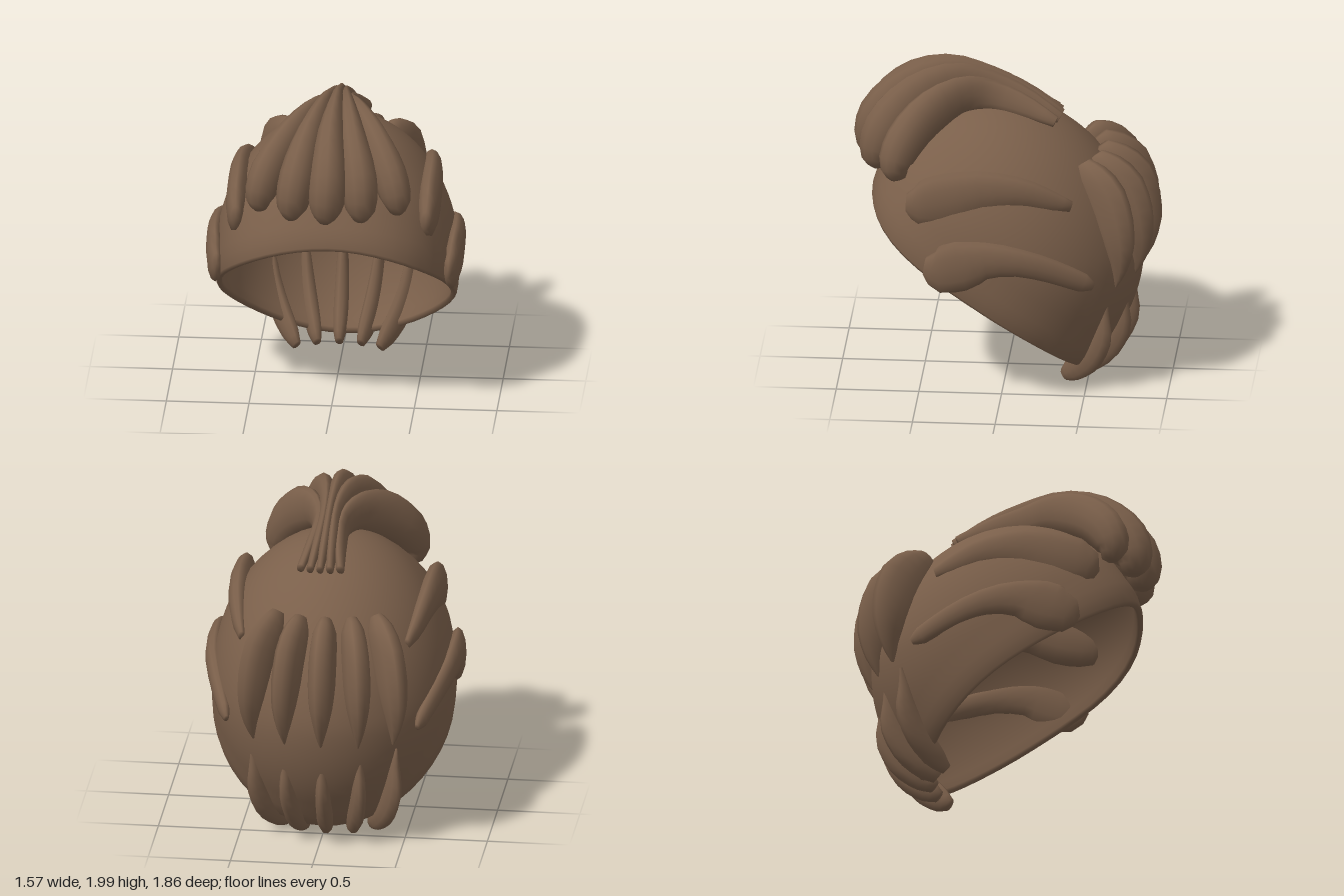
import * as THREE from 'three';
import { mergeVertices } from 'three/addons/utils/BufferGeometryUtils.js';

const hair = new THREE.MeshStandardMaterial({ color: 0x7a5f4a, side: THREE.DoubleSide });
hair.name = 'brown hair';

// Tapered lock: stations are [x, y, z, halfWidth, halfThickness]; side is the width direction
function lock(name, stations, side, steps = 14, sides = 12) {
  const path = new THREE.CatmullRomCurve3(stations.map(s => new THREE.Vector3(s[0], s[1], s[2])));
  const size = new THREE.CatmullRomCurve3(stations.map(s => new THREE.Vector3(s[3], s[4], 0)));
  const pos = [], idx = [];
  for (let i = 0; i <= steps; i++) {
    const t = i / steps;
    const c = path.getPoint(t), d = size.getPoint(t), T = path.getTangent(t);
    const S = side.clone().addScaledVector(T, -side.dot(T)).normalize();
    const N = T.clone().cross(S);
    for (let j = 0; j < sides; j++) {
      const a = j / sides * Math.PI * 2;
      const p = c.clone()
        .addScaledVector(S, Math.max(d.x, 0.003) * Math.cos(a))
        .addScaledVector(N, Math.max(d.y, 0.003) * Math.sin(a));
      pos.push(p.x, p.y, p.z);
      if (i < steps) {
        const k = i * sides + j, n = i * sides + (j + 1) % sides;
        idx.push(k, n, k + sides, n, n + sides, k + sides);
      }
    }
  }
  // end caps
  const last = steps * sides, first = pos.length / 3;
  const p0 = path.getPoint(0), p1 = path.getPoint(1);
  pos.push(p0.x, p0.y, p0.z, p1.x, p1.y, p1.z);
  for (let j = 0; j < sides; j++) {
    const n = (j + 1) % sides;
    idx.push(first, n, j, first + 1, last + j, last + n);
  }
  const g = new THREE.BufferGeometry();
  g.setAttribute('position', new THREE.Float32BufferAttribute(pos, 3));
  g.setIndex(idx);
  g.computeVertexNormals();
  const m = new THREE.Mesh(g, hair);
  m.name = name;
  return m;
}

// Hollow cap with a tilted opening and a slightly rolled rim
function cap() {
  const end = 1.82, n = 26, pts = [];
  const add = (r, a) => pts.push(new THREE.Vector2(Math.max(r * Math.sin(a), 0), r * Math.cos(a)));
  for (let i = 0; i <= n; i++) add(0.97, end * i / n);
  add(0.98, end + 0.02);
  add(1.01, end + 0.02);
  for (let i = n; i >= 0; i--) {
    const a = end * i / n;
    add(1 + 0.02 * THREE.MathUtils.smoothstep(a, end - 0.25, end - 0.05), a);
  }
  let g = new THREE.LatheGeometry(pts, 48);
  g.deleteAttribute('uv');
  g.deleteAttribute('normal');
  g = mergeVertices(g);
  const p = g.attributes.position, v = new THREE.Vector3();
  // wave the rim: lower at the temples, higher behind them, and square off the brow
  for (let i = 0; i < p.count; i++) {
    v.fromBufferAttribute(p, i);
    const r = v.length(), phi = Math.atan2(v.x, v.z), c = Math.cos(phi), s2 = Math.sin(phi) ** 2;
    const a = Math.acos(v.y / r);
    const brow = c > 0 ? 4 * s2 * c * c * THREE.MathUtils.smoothstep(a, 1, 1.7) : 0;
    v.setFromSphericalCoords(r * (1 + 0.075 * brow), a * (1 - 0.01 * s2 + 0.06 * s2 * c), phi);
    p.setXYZ(i, v.x, v.y, v.z);
  }
  g.rotateX(-0.651).scale(0.73, 0.92, 0.825).translate(0, 0.8, 0);
  // lean the crown forward
  for (let i = 0; i < p.count; i++) p.setZ(i, p.getZ(i) + 0.11 * Math.max(0, p.getY(i) - 0.8));
  g.computeVertexNormals();
  const m = new THREE.Mesh(g, hair);
  m.name = 'hairCap';
  return m;
}

// Fringe stations [x spread, x offset, y, z, halfWidth, halfThickness] for centre and outermost locks
const centreFringe = [
  [0, 0.04, 1.65, -0.33, 0.022, 0.035], [0, 0.03, 1.765, -0.1, 0.032, 0.08], [0, 0.025, 1.84, 0.12, 0.035, 0.11],
  [0, 0.015, 1.865, 0.35, 0.055, 0.135], [0, 0, 1.77, 0.58, 0.09, 0.155], [-0.01, 0, 1.6, 0.75, 0.115, 0.155],
  [0, -0.01, 1.44, 0.81, 0.105, 0.12], [0, -0.02, 1.345, 0.79, 0.045, 0.06]];
const outerFringe = [
  [0.12, 0.04, 1.645, -0.3, 0.024, 0.035], [0.09, 0.03, 1.73, -0.1, 0.032, 0.07], [0.08, 0.02, 1.785, 0.1, 0.035, 0.095],
  [0.14, 0.01, 1.8, 0.27, 0.055, 0.12], [0.25, 0, 1.72, 0.45, 0.085, 0.14], [0.36, -0.01, 1.58, 0.59, 0.1, 0.13],
  [0.41, -0.01, 1.44, 0.65, 0.09, 0.105], [0.41, -0.01, 1.345, 0.63, 0.04, 0.05]];

// Back stations [radius, y, halfWidth, halfThickness]
const upperBack = [
  [0.56, 1.425, 0.035, 0.06], [0.615, 1.355, 0.072, 0.13], [0.705, 1.23, 0.084, 0.18], [0.77, 1.08, 0.084, 0.165],
  [0.81, 0.94, 0.07, 0.125], [0.82, 0.8, 0.038, 0.065], [0.8, 0.68, 0.005, 0.01]];
const lowerBack = [
  [0.765, 0.63, 0.005, 0.01], [0.738, 0.5, 0.03, 0.045], [0.715, 0.35, 0.045, 0.085], [0.63, 0.2, 0.05, 0.095],
  [0.52, 0.095, 0.045, 0.08], [0.44, 0.035, 0.025, 0.04]];

// Side stations [x, y, z, halfHeight, halfThickness]
const upperSide = [
  [0.575, 1.26, 0.57, 0.06, 0.03], [0.58, 1.255, 0.48, 0.15, 0.06], [0.58, 1.285, 0.33, 0.17, 0.07],
  [0.58, 1.34, 0.12, 0.14, 0.065], [0.565, 1.335, -0.12, 0.1, 0.055], [0.535, 1.275, -0.3, 0.07, 0.04],
  [0.505, 1.235, -0.42, 0.035, 0.02]];
const lowerSide = [
  [0.7, 0.9, 0.45, 0.06, 0.025], [0.715, 0.885, 0.36, 0.15, 0.05], [0.725, 0.915, 0.23, 0.16, 0.055],
  [0.725, 0.955, 0.08, 0.12, 0.055], [0.71, 0.94, -0.12, 0.09, 0.05], [0.66, 0.87, -0.32, 0.075, 0.045],
  [0.6, 0.78, -0.5, 0.06, 0.035], [0.58, 0.75, -0.56, 0.025, 0.015]];

export function createModel() {
  const model = new THREE.Group();
  model.name = 'hair';
  model.add(cap());

  for (let i = -2; i <= 2; i++) {
    // fringe locks gathered at the crown and fanning forward
    const u = Math.abs(i) / 2, a = i * 0.28;
    const fringe = centreFringe.map((c, k) => {
      const o = outerFringe[k].map((v, q) => THREE.MathUtils.lerp(c[q], v, u * u));
      return [o[1] + i / 2 * outerFringe[k][0], o[2], o[3], o[4], o[5]];
    });
    model.add(lock('fringeLock', fringe, new THREE.Vector3(Math.cos(a), 0, -Math.sin(a)), 18));

    // two rows of locks around the back
    for (const [name, rows, step] of [['upperBackLock', upperBack, 0.278], ['lowerBackLock', lowerBack, 0.305]]) {
      const b = i * step;
      const stations = rows.map(([r, y, w, t]) => [-0.025 + r * Math.sin(b), y, -r * Math.cos(b), w, t]);
      model.add(lock(name, stations, new THREE.Vector3(Math.cos(b), 0, Math.sin(b)), 12, 10));
    }
  }

  // swept-back locks on both sides
  for (const s of [-1, 1]) {
    for (const [name, rows] of [['upperSideLock', upperSide], ['lowerSideLock', lowerSide]]) {
      const stations = rows.map(([x, ...rest]) => [s * x, ...rest]);
      model.add(lock((s > 0 ? 'left ' : 'right ') + name, stations, new THREE.Vector3(0, 1, 0)));
    }
  }
  return model;
}
